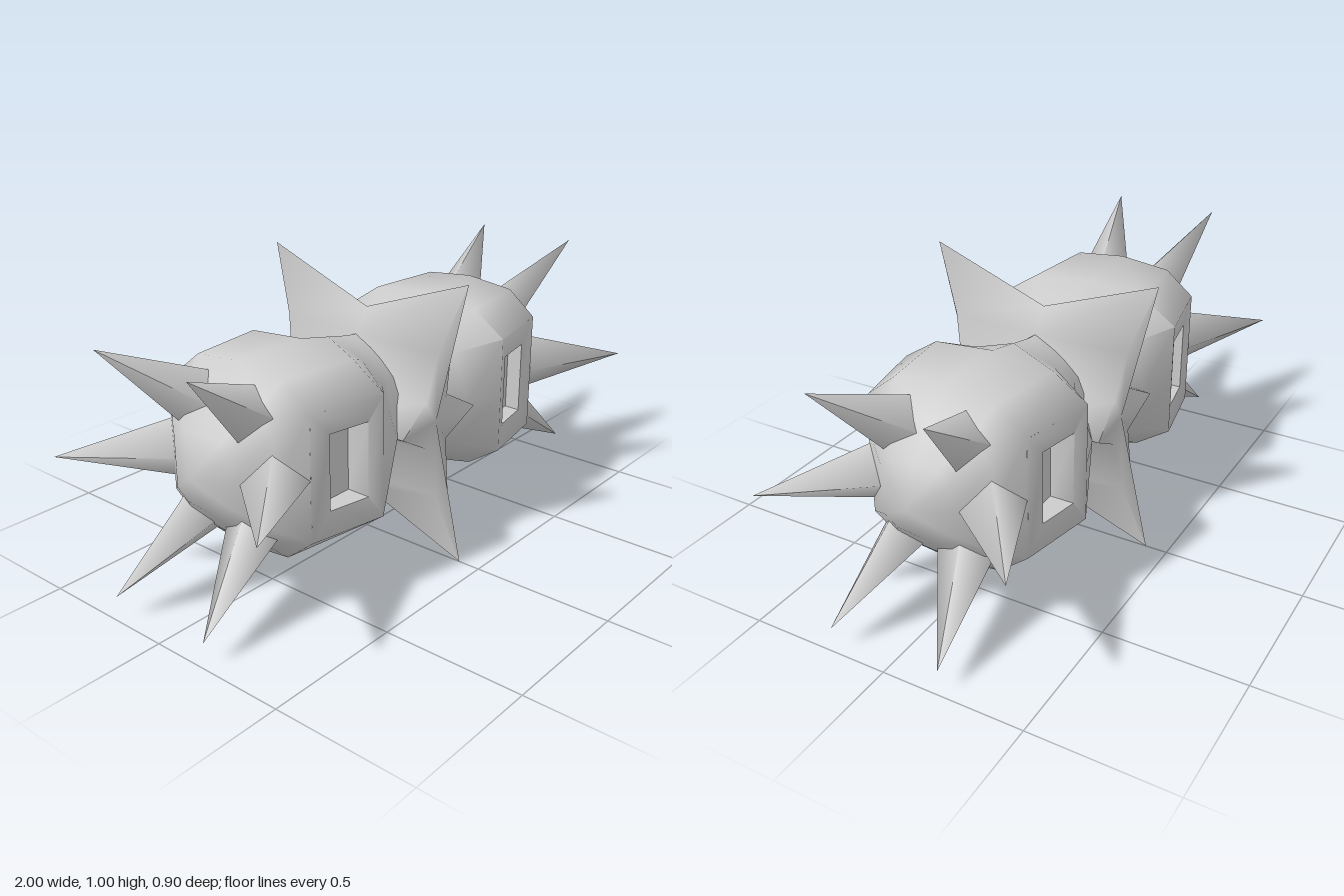
import * as THREE from 'three';
import { toCreasedNormals } from 'three/addons/utils/BufferGeometryUtils.js';

const CY = 0.505; // height of the long axis
const material = new THREE.MeshStandardMaterial({ color: 0xcccccc, side: THREE.DoubleSide });

function meshFromTriangles(name, triangles, crease) {
  const geometry = new THREE.BufferGeometry().setFromPoints(triangles);
  const mesh = new THREE.Mesh(toCreasedNormals(geometry, crease), material);
  mesh.name = name;
  return mesh;
}

const quad = (out, a, b, c, d) => out.push(a, b, d, b, c, d);

// Skin between closed rings of equal point count; skip(i, j) leaves a face open
function loft(rings, skip = () => false) {
  const out = [];
  for (let i = 0; i < rings.length - 1; i++) {
    const n = rings[i].length;
    for (let j = 0; j < n; j++) {
      const k = (j + 1) % n;
      if (!skip(i, j)) quad(out, rings[i][j], rings[i][k], rings[i + 1][k], rings[i + 1][j]);
    }
  }
  return out;
}

function fan(out, ring, centre, reverse) {
  ring.forEach((p, j) => {
    const q = ring[(j + 1) % ring.length];
    reverse ? out.push(q, p, centre) : out.push(p, q, centre);
  });
}

// Pod: chamfered cross-section (y, z) scaled along x; the waist keeps a top spine
// and a mid-height wedge while its corners pinch in
function createPod() {
  const pod = new THREE.Group();
  const profile = [
    [0.32, 0], [0.3, 0.22], [0.215, 0.345], [0, 0.345], [-0.215, 0.345], [-0.3, 0.22],
    [-0.32, 0], [-0.3, -0.22], [-0.215, -0.345], [0, -0.345], [0.215, -0.345], [0.3, -0.22],
  ];
  const stations = [ // x, spine scale, corner y scale, corner z scale, mid-height scale
    [0, 0.8, 0.62, 0.45, 0.6], [0.1, 0.83, 0.68, 0.5, 0.7], [0.2, 0.9, 0.8, 0.67, 0.86],
    [0.33, 0.99, 0.99, 1, 1], [0.61, 1, 1, 0.84, 0.84],
    [0.7, 0.72, 0.72, 0.66, 0.66], [0.78, 0.4, 0.4, 0.36, 0.36],
  ];
  const rings = stations.map(([x, spine, sy, sz, mid]) => profile.map(([y, z]) =>
    new THREE.Vector3(x, y * (z === 0 ? spine : sy), z * (y === 0 ? mid : sz))));
  const body = loft(rings, (i, j) => i === 3 && [2, 3, 8, 9].includes(j));
  fan(body, rings.at(-1), new THREE.Vector3(0.84, 0, 0), false);

  // Bevelled, recessed window in the front and back panels
  const frame = [[0.33, 0.213, 0.345], [0.33, -0.213, 0.345], [0.61, -0.215, 0.29], [0.61, 0.215, 0.29]];
  const rim = [[0.38, 0.13, 0.325], [0.38, -0.13, 0.325], [0.53, -0.13, 0.297], [0.53, 0.13, 0.297]];
  const floor = rim.map(([x, y]) => [x, y, 0.24]);
  for (const side of [1, -1]) {
    const nested = [frame, rim, floor].map((r) =>
      r.map(([x, y, z]) => new THREE.Vector3(x, y * side, z * side)));
    body.push(...loft(nested));
    quad(body, ...nested[2]);
  }
  pod.add(meshFromTriangles('podBody', body, 1.3));

  // Six smooth-shaded spikes around the outer end
  const addSpike = (base, tip, radius) => {
    const length = base.distanceTo(tip);
    const geometry = new THREE.ConeGeometry(radius, length, 4, 1, true)
      .translate(0, length / 2, 0).rotateX(Math.PI / 2);
    const spike = new THREE.Mesh(geometry, material);
    spike.name = 'endSpike';
    spike.position.copy(base);
    spike.lookAt(tip);
    pod.add(spike);
  };
  for (const sz of [1, -1]) {
    addSpike(new THREE.Vector3(0.66, 0, 0.19 * sz), new THREE.Vector3(1, 0, 0.45 * sz), 0.115);
    for (const sy of [1, -1]) {
      addSpike(new THREE.Vector3(0.64, 0.16 * sy, 0.1 * sz),
        new THREE.Vector3(0.995, 0.415 * sy, 0.2 * sz), 0.11);
    }
  }
  return pod;
}

// Central four-pointed star, flared towards its front and back ends
function createStar() {
  // Quarter outline: side tip, notch, shoulder, top tip
  const middle = [[0.2, 0, 0], [0.07, 0.1, 0], [0.06, 0.265, 0], [0, 0.345, 0]];
  const end = [[0.2, 0, 0.32], [0.058, 0.082, 0.305], [0.035, 0.26, 0.335], [0, 0.5, 0.42]];
  const section = (quarter, sz) => {
    const put = ([x, y, z], sx, sy) => new THREE.Vector3(x * sx, y * sy, z * sz);
    const [s, n, h, t] = quarter;
    return [
      put(s, 1, 1), put(n, 1, 1), put(h, 1, 1), put(t, 1, 1), put(h, -1, 1), put(n, -1, 1),
      put(s, -1, 1), put(n, -1, -1), put(h, -1, -1), put(t, 1, -1), put(h, 1, -1), put(n, 1, -1),
    ];
  };
  const rings = [section(end, -1), section(middle, 1), section(end, 1)];
  const out = loft(rings);
  fan(out, rings[0], new THREE.Vector3(0, 0, -0.305), true);
  fan(out, rings[2], new THREE.Vector3(0, 0, 0.305), false);
  return meshFromTriangles('centralStar', out, 1.7);
}

export function createModel() {
  const model = new THREE.Group();
  model.name = 'spikedTwinPod';
  const left = createPod();
  left.name = 'leftPod';
  const right = createPod();
  right.name = 'rightPod';
  right.rotation.y = Math.PI;
  model.add(left, right, createStar());
  model.children.forEach((part) => { part.position.y = CY; });
  return model;
}
